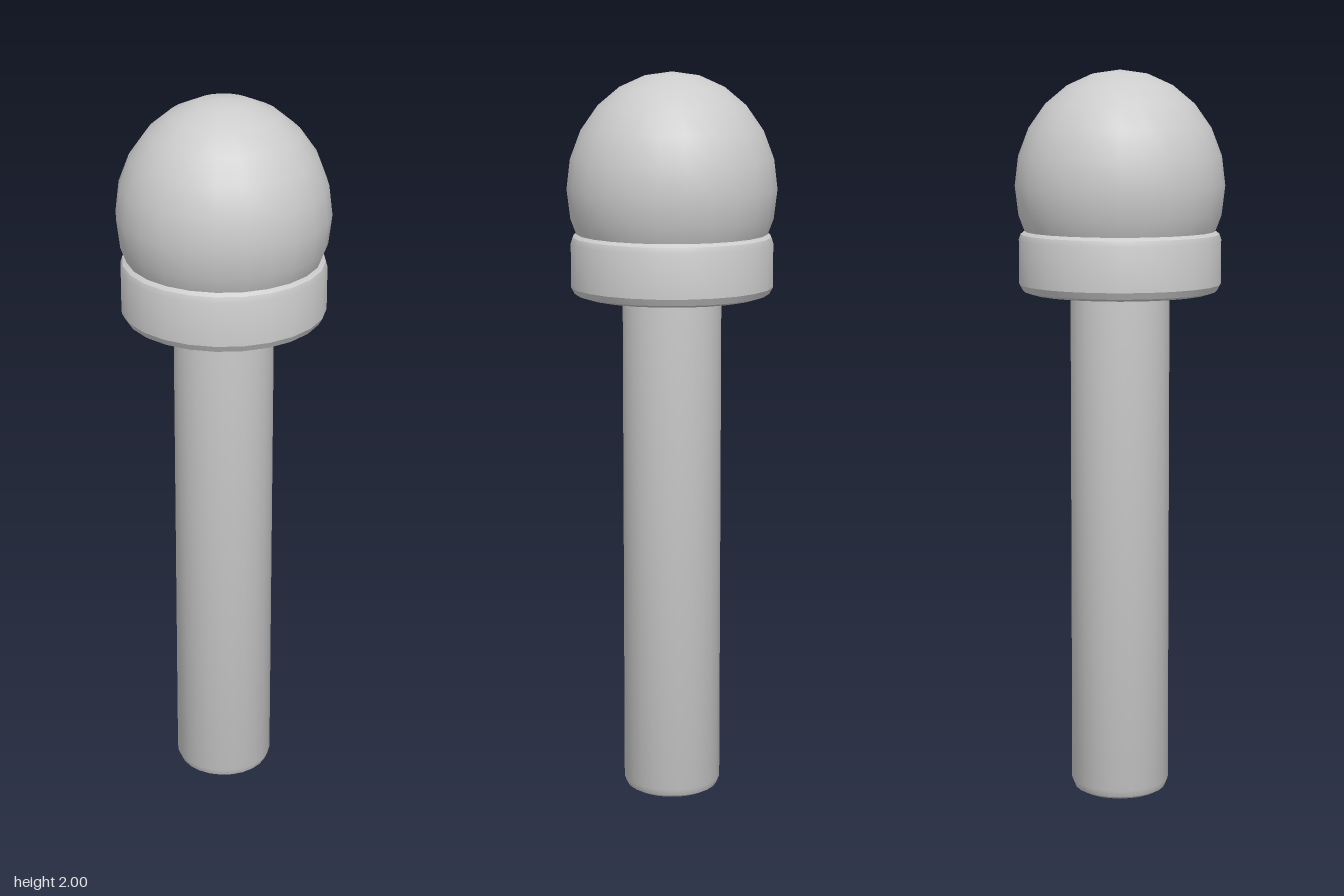
import * as THREE from 'three';
import { toCreasedNormals } from 'three/addons/utils/BufferGeometryUtils.js';

const SIDES = 24;

// Turned part from [radius, height] pairs, listed from bottom to top
function turned(name, profile, material) {
  const points = profile.map(([r, y]) => new THREE.Vector2(r, y));
  const geometry = toCreasedNormals(new THREE.LatheGeometry(points, SIDES), 0.5);
  const mesh = new THREE.Mesh(geometry, material);
  mesh.name = name;
  return mesh;
}

export function createModel() {
  const model = new THREE.Group();
  model.name = 'knobbedPin';

  const grey = new THREE.MeshStandardMaterial({ color: 0xcccccc });
  grey.name = 'light grey';

  // Shaft with a rounded foot
  model.add(turned('shaft', [
    [0, 0], [0.11, 0], [0.126, 0.009], [0.135, 0.03], [0.135, 1.41],
  ], grey));

  // Collar with bevelled rims
  model.add(turned('collar', [
    [0, 1.4], [0.245, 1.4], [0.265, 1.407], [0.275, 1.425],
    [0.275, 1.545], [0.27, 1.56], [0.257, 1.57], [0, 1.57],
  ], grey));

  // Slightly tall ball, sunk into the collar
  const knob = new THREE.Mesh(new THREE.SphereGeometry(0.285, SIDES, 12), grey);
  knob.name = 'knob';
  knob.scale.y = 0.31 / 0.285;
  knob.position.y = 1.69;
  // Keep the lower half inside the collar
  model.add(knob);

  return model;
}
